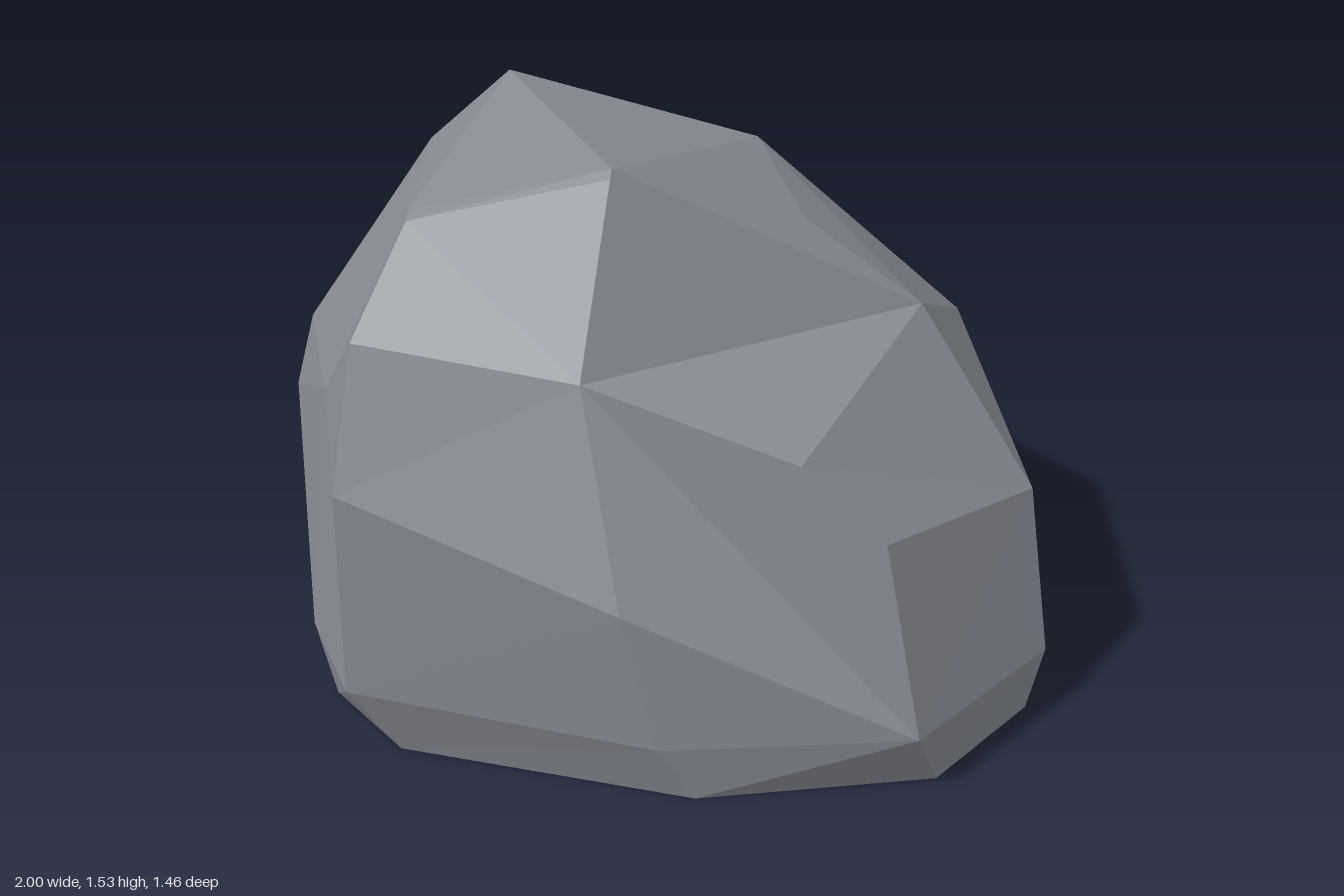
import * as THREE from 'three';
import { ConvexGeometry } from 'three/addons/geometries/ConvexGeometry.js';

// Corners of the boulder by level: x, y, z and, where the stone is hollowed,
// an outward bulge that is used only while finding the facets.
const base = [
  [0.13, 0, 0.67], [0.73, 0, 0.53], [0.96, 0, 0.2], [0.83, 0, -0.45], [0.21, 0, -0.64],
  [-0.57, 0, -0.54], [-0.9, 0, -0.11], [-0.85, 0, 0.3], [-0.64, 0, 0.53],
];
const foot = [
  [0.04, 0.17, 0.71, [0, 0, 0.03]], [0.68, 0.2, 0.65], [1, 0.2, 0.22], [0.88, 0.28, -0.4],
  [0.21, 0.25, -0.73], [-0.58, 0.2, -0.59], [-0.93, 0.33, -0.12], [-0.9, 0.22, 0.3], [-0.76, 0.21, 0.59],
];
const middle = [
  [-0.05, 0.57, 0.73, [0, 0, 0.07]], [0.58, 0.73, 0.6], [0.94, 0.64, 0.15], [0.74, 0.85, -0.42],
  [0.18, 0.53, -0.72], [-0.73, 0.8, -0.6], [-1, 0.7, -0.12], [-0.95, 0.9, -0.13],
  [-0.83, 0.92, 0.3, [-0.1, 0.01, 0.06]], [-0.75, 0.81, 0.63],
];
const shoulder = [
  [0.37, 0.93, 0.59, [0.01, 0, 0.09]], [0.64, 1.08, 0.01], [0.11, 1.02, -0.6],
  [-0.68, 1.26, -0.49], [-0.71, 1.17, 0.52],
  [-0.16, 1.095, 0.54, [0.16, 0.145, 0.26]], // inner corner of the front ledge
];
const crown = [
  [-0.11, 1.535, 0.27], [-0.11, 1.52, 0.3], [-0.6, 1.41, 0.28], [-0.6, 1.4, 0.32],
  [-0.45, 1.5, -0.4], [0.2, 1.36, -0.35], [0.34, 1.3, 0],
];

function facetedStone(corners) {
  const real = corners.map(([x, y, z]) => new THREE.Vector3(x, y, z));
  const bulged = corners.map(([, , , bulge], i) =>
    real[i].clone().add(new THREE.Vector3(...(bulge || [0, 0, 0]))));
  const geometry = new ConvexGeometry(bulged);

  // Sink the bulged corners back to form the ledge and the side hollow
  const pos = geometry.attributes.position;
  const p = new THREE.Vector3();
  for (let i = 0; i < pos.count; i++) {
    p.fromBufferAttribute(pos, i);
    const k = bulged.findIndex((b) => b.distanceTo(p) < 1e-4);
    if (k >= 0) pos.setXYZ(i, real[k].x, real[k].y, real[k].z);
  }
  geometry.computeVertexNormals();
  return geometry;
}

export function createModel() {
  const stoneGrey = new THREE.MeshStandardMaterial({ color: 0x888c94 });
  stoneGrey.name = 'stoneGrey';
  stoneGrey.flatShading = true;

  const boulder = new THREE.Mesh(facetedStone([...base, ...foot, ...middle, ...shoulder, ...crown]), stoneGrey);
  boulder.name = 'boulder';

  const model = new THREE.Group();
  model.name = 'rock';
  model.add(boulder);
  return model;
}
